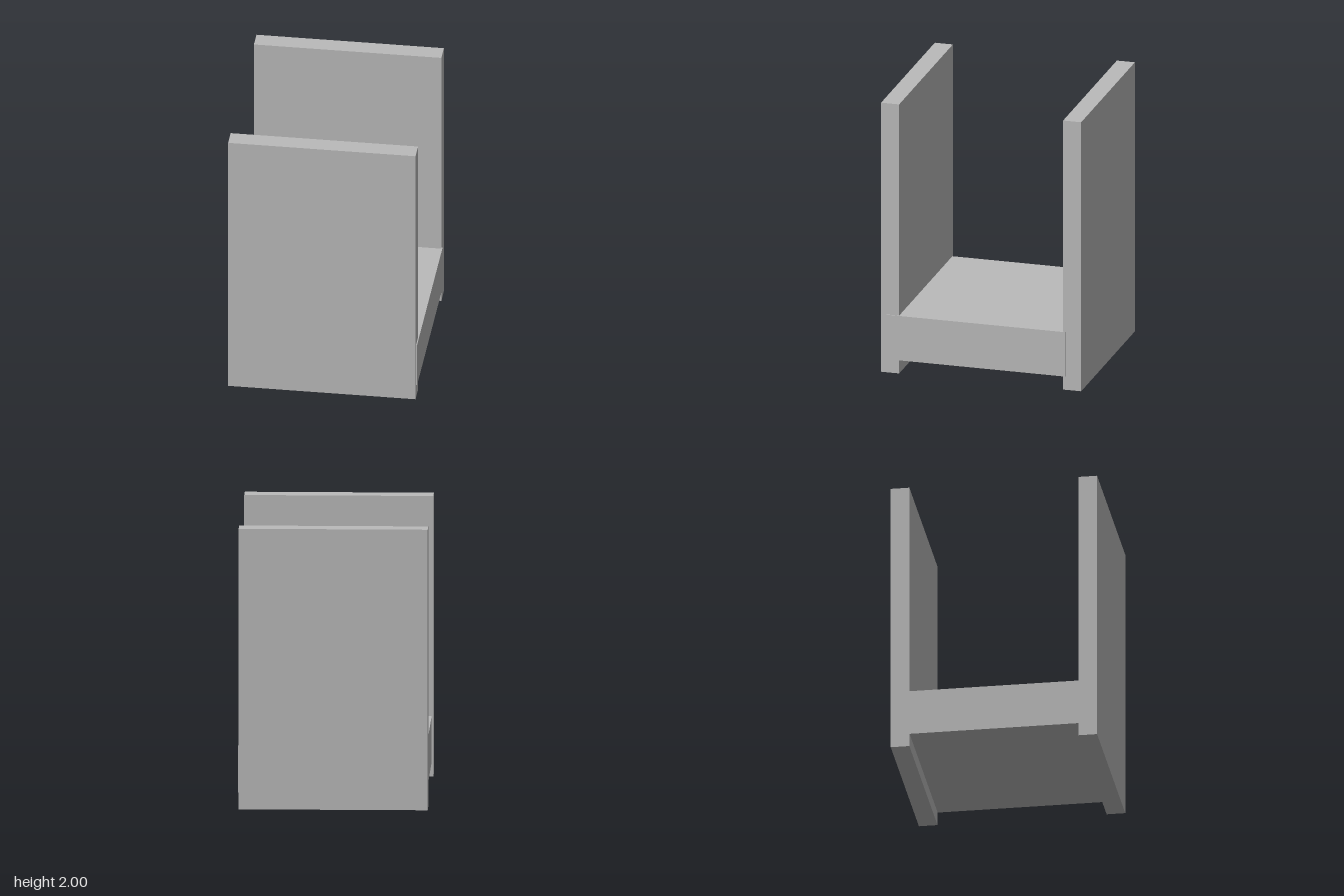
import * as THREE from 'three';

export function createModel() {
  const group = new THREE.Group();
  const grey = new THREE.MeshStandardMaterial({ color: 0xbababa });
  grey.name = 'grey';

  // Box given by its extents along each axis
  function board(name, [x0, x1], [y0, y1], [z0, z1]) {
    const mesh = new THREE.Mesh(new THREE.BoxGeometry(x1 - x0, y1 - y0, z1 - z0), grey);
    mesh.position.set((x0 + x1) / 2, (y0 + y1) / 2, (z0 + z1) / 2);
    mesh.name = name;
    group.add(mesh);
  }

  // Two tall upright panels
  board('frontPanel', [-0.667, 0.66], [0, 2], [0.6, 0.732]);
  board('backPanel', [-0.667, 0.66], [0, 2], [-0.732, -0.6]);

  // Thick slab between them, let into both panels and slightly proud on the left
  board('slab', [-0.655, 0.667], [0.1, 0.43], [-0.616, 0.7]);

  return group;
}
